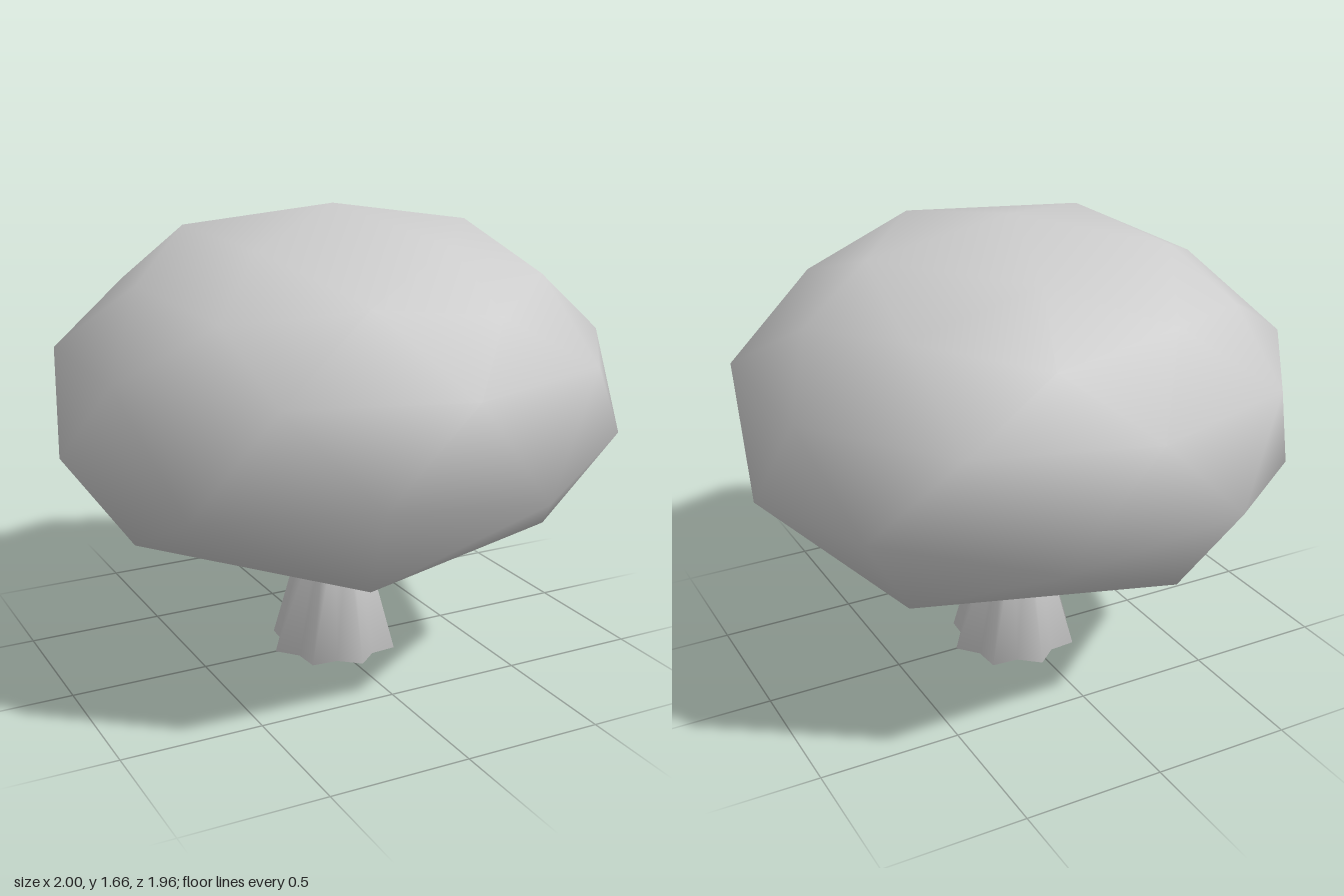
import * as THREE from 'three';
import { mergeVertices } from 'three/addons/utils/BufferGeometryUtils.js';

// Squashed faceted ball: rings of five and ten points between two poles
function canopyGeometry() {
  const pos = [], index = [];
  const cx = 0.02;
  const add = (r, y, deg) => {
    const a = THREE.MathUtils.degToRad(deg);
    pos.push(cx + r * Math.cos(a), y, -r * Math.sin(a));
    return pos.length / 3 - 1;
  };
  // each ring alternates between its given [radius, height] pairs
  const ring = (n, start, ...pairs) => Array.from({ length: n }, (_, k) =>
    add(...pairs[k % pairs.length], start + (360 / n) * k));

  const top = add(0, 1.656, 0);
  const crown = ring(5, 0, [0.54, 1.567]);
  const upper = ring(10, 0, [0.77, 1.37], [0.73, 1.428]);
  const middle = ring(10, 18, [0.98, 1.177]);
  const lower = ring(10, 0, [0.98, 0.79], [1.02, 0.87]);
  const under = ring(5, 36, [0.77, 0.517]);
  const bottom = add(0, 0.35, 0);

  for (let k = 0; k < 5; k++) {
    const n = (k + 1) % 5, a = 2 * k, b = a + 1, c = (a + 2) % 10;
    index.push(
      top, crown[k], crown[n],
      crown[k], upper[a], upper[b],
      crown[k], upper[b], crown[n],
      crown[n], upper[b], upper[c],
      bottom, under[n], under[k],
      under[k], lower[b], lower[a],
      under[k], lower[c], lower[b],
      under[k], under[n], lower[c]);
  }
  for (let j = 0; j < 10; j++) {
    const n = (j + 1) % 10;
    index.push(
      upper[j], middle[j], upper[n],
      middle[j], middle[n], upper[n],
      middle[j], lower[j], lower[n],
      middle[j], lower[n], middle[n]);
  }
  const g = new THREE.BufferGeometry();
  g.setAttribute('position', new THREE.Float32BufferAttribute(pos, 3));
  g.setIndex(index);
  g.computeVertexNormals();
  return g;
}

// Flared trunk with eight ribs: every second corner is pulled inwards
function trunkGeometry() {
  const height = 0.45;
  let g = new THREE.CylinderGeometry(0.112, 0.24, height, 16, 1);
  const p = g.attributes.position;
  for (let i = 0; i < p.count; i++) {
    const corner = Math.round(Math.atan2(p.getX(i), p.getZ(i)) / (Math.PI / 8));
    const s = corner % 2 === 0 ? 1 : 0.8;
    p.setXYZ(i, p.getX(i) * s, p.getY(i) + height / 2, p.getZ(i) * s);
  }
  g.deleteAttribute('uv');
  g.deleteAttribute('normal');
  g = mergeVertices(g, 1e-4);
  g.computeVertexNormals();
  return g;
}

export function createModel() {
  const group = new THREE.Group();
  group.name = 'tree';
  const grey = new THREE.MeshStandardMaterial({ color: 0xcccccc });
  grey.name = 'light grey';

  const canopy = new THREE.Mesh(canopyGeometry(), grey);
  canopy.name = 'canopy';

  const trunk = new THREE.Mesh(trunkGeometry(), grey);
  trunk.name = 'trunk';
  trunk.position.x = 0.023;

  group.add(canopy, trunk);
  return group;
}
